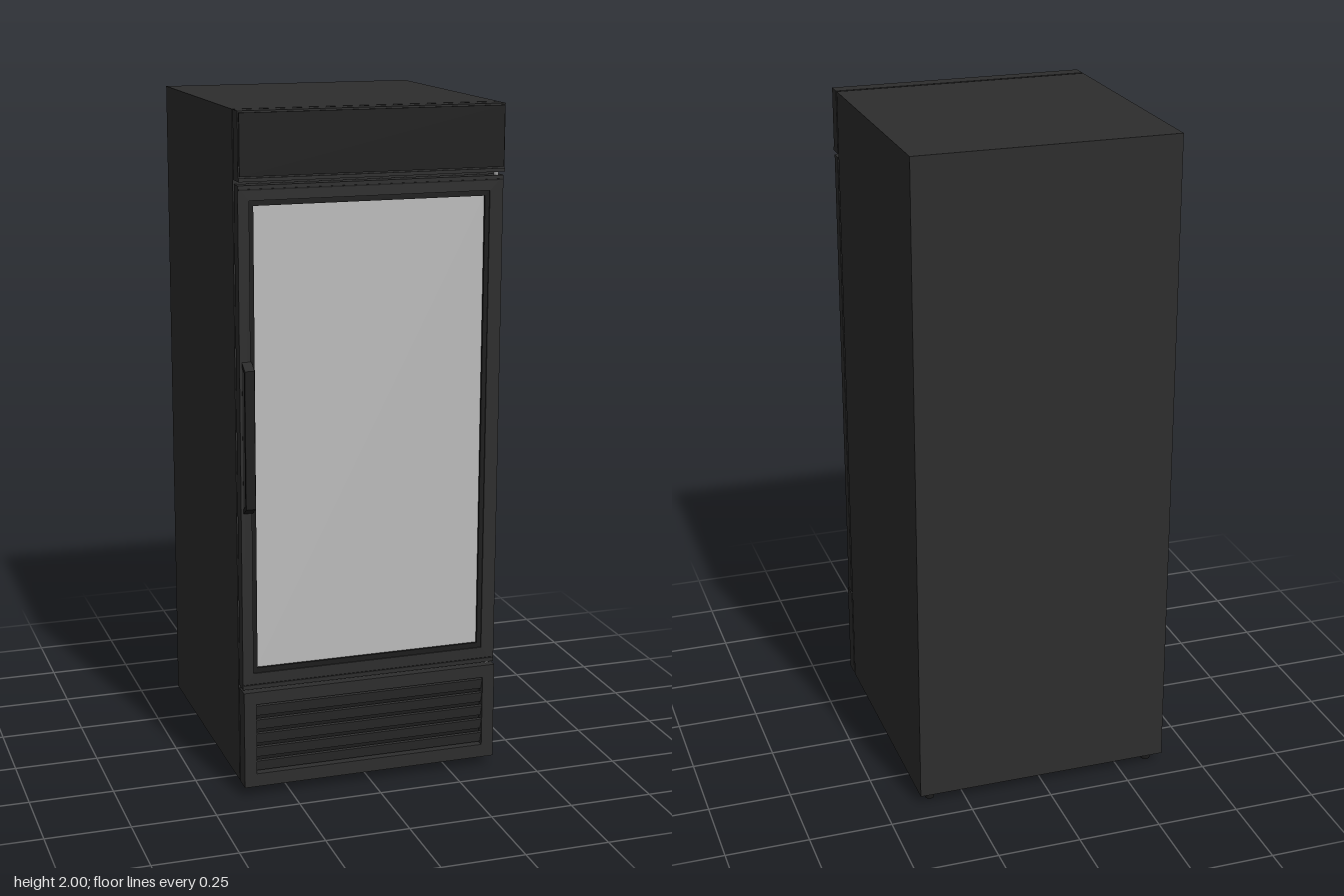
import * as THREE from 'three';

const material = (name, color) => {
  const m = new THREE.MeshStandardMaterial({ color });
  m.name = name;
  return m;
};

export function createModel() {
  const group = new THREE.Group();
  const shell = material('charcoal shell', 0x2d2d2d);
  const black = material('black trim', 0x1c1c1c);
  const glass = material('pale grey glass', 0xbcbcbc);
  const metal = material('hinge metal', 0x9a9a9a);

  const add = (name, geometry, mat, x = 0, y = 0, z = 0) => {
    const mesh = new THREE.Mesh(geometry, mat);
    mesh.name = name;
    mesh.position.set(x, y, z);
    group.add(mesh);
    return mesh;
  };
  // Box given by its limits on each axis
  const box = (name, mat, x0, x1, y0, y1, z0, z1) =>
    add(name, new THREE.BoxGeometry(x1 - x0, y1 - y0, z1 - z0), mat,
      (x0 + x1) / 2, (y0 + y1) / 2, (z0 + z1) / 2);
  const trace = (path, points) => {
    points.forEach(([x, y], i) => (i ? path.lineTo(x, y) : path.moveTo(x, y)));
    path.closePath();
    return path;
  };
  const rect = (x0, x1, y0, y1) => [[x0, y0], [x1, y0], [x1, y1], [x0, y1]];
  // Rectangular frame extruded between two depths
  const frame = (name, mat, outer, inner, z0, z1) => {
    const shape = trace(new THREE.Shape(), rect(...outer));
    shape.holes.push(trace(new THREE.Path(), rect(...inner).reverse()));
    return add(name, new THREE.ExtrudeGeometry(shape, { depth: z1 - z0, bevelEnabled: false }), mat, 0, 0, z0);
  };

  // Cabinet
  box('cabinet', shell, -0.39, 0.39, 0.03, 2, -0.43, 0.35);

  // Header sign box with a dark front plate
  box('headerSeal', black, -0.383, 0.383, 1.815, 1.995, 0.35, 0.358);
  box('header', shell, -0.39, 0.39, 1.808, 2, 0.358, 0.405);
  box('headerPlate', black, -0.387, 0.387, 1.822, 1.995, 0.404, 0.41);
  box('headerLip', shell, -0.39, 0.39, 1.808, 1.818, 0.404, 0.41);

  // Door: gasket, stepped frame and glass
  box('doorGasket', black, -0.38, 0.38, 0.335, 1.79, 0.35, 0.362);
  frame('doorFrame', shell, [-0.39, 0.39, 0.332, 1.797], [-0.358, 0.35, 0.38, 1.755], 0.362, 0.4);
  frame('glassTrim', black, [-0.358, 0.35, 0.38, 1.755], [-0.345, 0.337, 0.395, 1.74], 0.362, 0.396);
  box('doorGlass', glass, -0.345, 0.337, 0.395, 1.74, 0.38, 0.388);
  for (const y of [0.345, 1.785]) box('doorGroove', black, -0.388, 0.388, y - 0.002, y + 0.002, 0.398, 0.402);

  // Hinge pins on the model's left side
  for (const y of [0.327, 1.803]) {
    add('hingePin', new THREE.CylinderGeometry(0.007, 0.007, 0.014, 12), metal, 0.373, y, 0.385);
  }

  // Lower panel with louvred grille
  box('panelSeal', black, -0.383, 0.383, 0.04, 0.318, 0.35, 0.358);
  frame('lowerPanel', shell, [-0.39, 0.39, 0.03, 0.325], [-0.353, 0.353, 0.07, 0.287], 0.358, 0.41);
  box('grilleBack', black, -0.355, 0.355, 0.068, 0.289, 0.36, 0.385);
  for (let i = 0; i < 5; i++) {
    const y = 0.093 + i * 0.043;
    const slat = add('grilleSlat', new THREE.BoxGeometry(0.706, 0.035, 0.008), shell, 0, y, 0.398);
    slat.rotation.x = 0.3;
  }

  // Bracket handle on the model's right side
  const grip = trace(new THREE.Shape(), [[0.4, 0.865], [0.43, 0.885], [0.43, 1.285], [0.4, 1.305]]);
  grip.holes.push(trace(new THREE.Path(), [[0.4005, 0.88], [0.4005, 1.29], [0.42, 1.278], [0.42, 0.892]]));
  const handle = add('doorHandle', new THREE.ExtrudeGeometry(grip, { depth: 0.028, bevelEnabled: false }), black, -0.355);
  handle.rotation.y = -Math.PI / 2;

  // Feet
  for (const x of [-0.352, 0.352]) {
    for (const z of [-0.39, 0.303]) {
      add('foot', new THREE.CylinderGeometry(0.017, 0.014, 0.032, 16), black, x, 0.016, z);
    }
  }
  return group;
}
